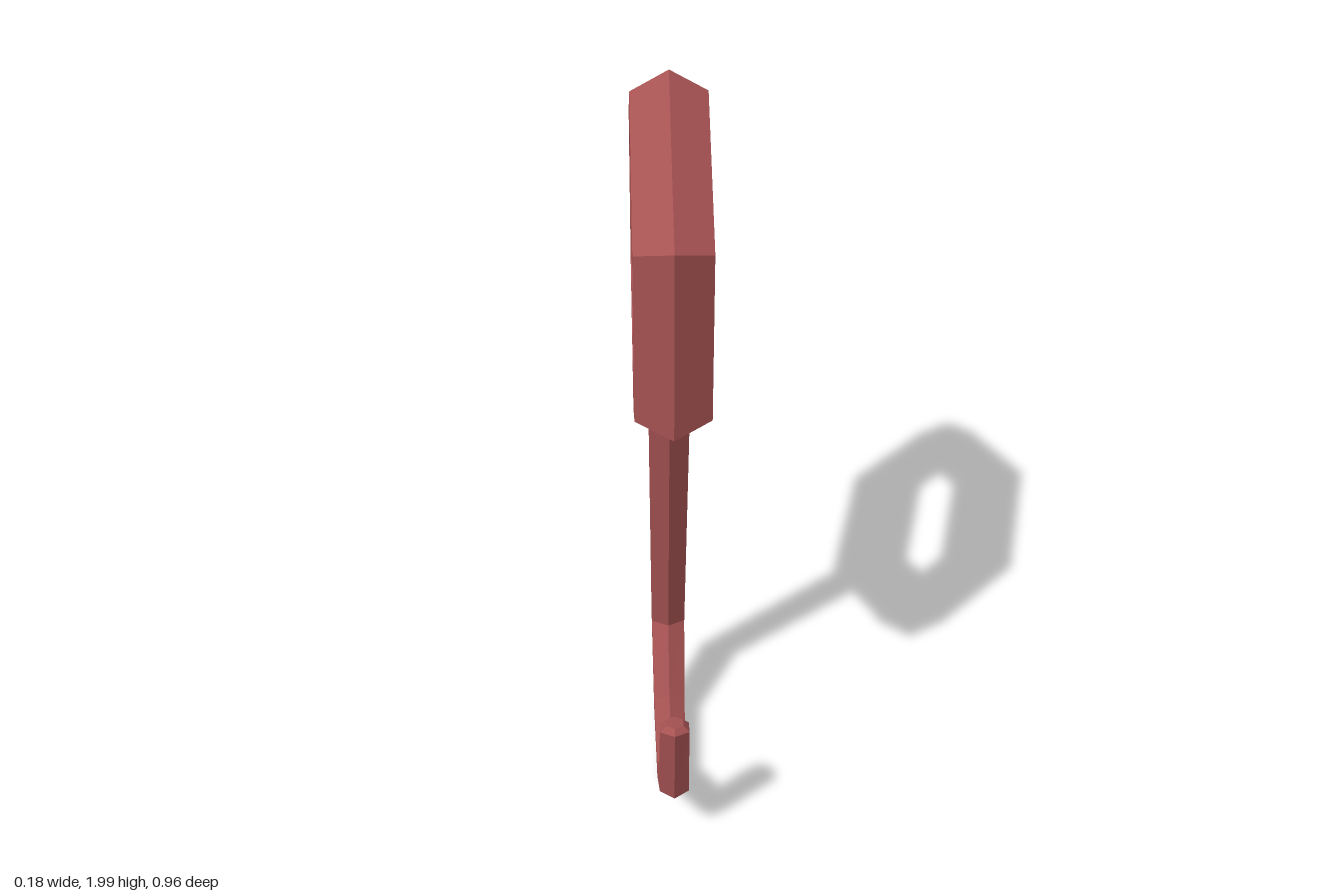
import * as THREE from 'three';

const SIDES = 6;

// Hook outline in the side plane: [outer z, outer y, inner z, inner y, half width in x]
const HOOK = [
  [-0.110, 1.122, 0.010, 1.138, 0.053],
  [-0.228, 0.270, -0.125, 0.285, 0.046],
  [-0.063, 0.016, -0.025, 0.110, 0.043],
  [0.218, 0.008, 0.203, 0.100, 0.040],
  [0.447, 0.182, 0.376, 0.224, 0.038],
  [0.482, 0.436, 0.402, 0.426, 0.037],
  [0.467, 0.450, 0.416, 0.444, 0.022],
];

// Joins hexagonal cross-sections into a closed tapering bar
function hookGeometry() {
  const positions = [];
  const index = [];
  for (const [oz, oy, iz, iy, halfX] of HOOK) {
    const cz = (oz + iz) / 2, cy = (oy + iy) / 2;
    for (let k = 0; k < SIDES; k++) {
      const a = (k / SIDES) * Math.PI * 2;
      const c = Math.cos(a);
      const x = (halfX * Math.sin(a)) / Math.sin(Math.PI / 3);
      positions.push(x, cy + (oy - cy) * c, cz + (oz - cz) * c);
    }
  }
  for (let i = 0; i < HOOK.length - 1; i++) {
    for (let k = 0; k < SIDES; k++) {
      const a = i * SIDES + k;
      const b = i * SIDES + ((k + 1) % SIDES);
      index.push(a, b, b + SIDES, a, b + SIDES, a + SIDES);
    }
  }
  // End caps
  const last = (HOOK.length - 1) * SIDES;
  for (let k = 1; k < SIDES - 1; k++) {
    index.push(0, k + 1, k);
    index.push(last, last + k, last + k + 1);
  }
  const geometry = new THREE.BufferGeometry();
  geometry.setAttribute('position', new THREE.Float32BufferAttribute(positions, 3));
  geometry.setIndex(index);
  const flat = geometry.toNonIndexed();
  flat.computeVertexNormals();
  return flat;
}

export function createModel() {
  const group = new THREE.Group();
  group.name = 'hangingHook';
  const material = new THREE.MeshStandardMaterial({ color: 0xa65252, flatShading: true });

  // Hexagonal ring standing in the side plane, one corner up
  const ringGeometry = new THREE.TorusGeometry(0.385, 0.105, SIDES, SIDES);
  ringGeometry.rotateZ(Math.PI / 2);
  ringGeometry.rotateY(Math.PI / 2);
  const ring = new THREE.Mesh(ringGeometry, material);
  ring.name = 'ring';
  ring.position.set(0, 1.51, -0.055);
  group.add(ring);

  // Shank and curved hook in one bar
  const hook = new THREE.Mesh(hookGeometry(), material);
  hook.name = 'hook';
  group.add(hook);

  return group;
}
